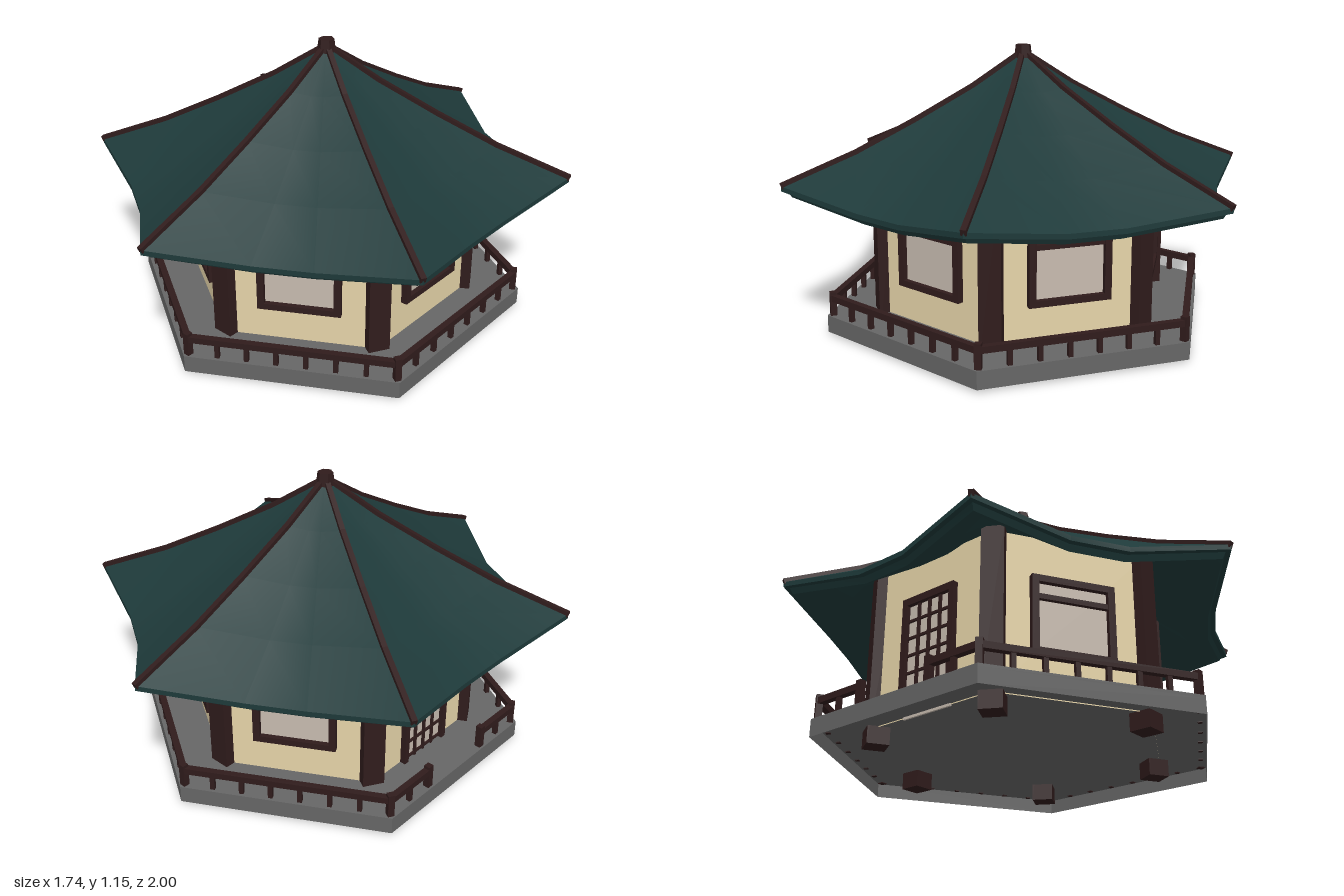
import * as THREE from 'three';
import { toCreasedNormals } from 'three/addons/utils/BufferGeometryUtils.js';

const mat = (name, color) => {
  const m = new THREE.MeshStandardMaterial({ color });
  m.name = name;
  return m;
};

export function createModel() {
  const roofGreen = mat('roof green', 0x1e3a3a);
  const wood = mat('dark wood', 0x301c1c);
  const plaster = mat('cream plaster', 0xe9d7ab);
  const paper = mat('window pane', 0xc8bcb0);
  const stone = mat('grey stone', 0x666666);
  stone.side = THREE.DoubleSide;

  const model = new THREE.Group();
  model.name = 'hexagonalPavilion';

  const add = (parent, name, geometry, material, x = 0, y = 0, z = 0) => {
    const mesh = new THREE.Mesh(geometry, material);
    mesh.name = name;
    mesh.position.set(x, y, z);
    parent.add(mesh);
    return mesh;
  };
  // box given by its width, depth and vertical range
  const box = (parent, name, material, w, d, y0, y1, x = 0, z = 0) =>
    add(parent, name, new THREE.BoxGeometry(w, y1 - y0, d), material, x, (y0 + y1) / 2, z);
  // group turned so that its local +z points outward at the given angle
  const turned = (name, degrees) => {
    const g = new THREE.Group();
    g.name = name;
    g.rotation.y = THREE.MathUtils.degToRad(degrees);
    model.add(g);
    return g;
  };
  const hexPrism = (name, material, rTop, rBottom, y0, y1, open = false) => {
    const geo = new THREE.CylinderGeometry(rTop, rBottom, y1 - y0, 6, 1, open);
    add(model, name, toCreasedNormals(geo, 0.3), material, 0, (y0 + y1) / 2, 0);
  };

  // Platform (deck on an open skirt), wall shell and finial
  hexPrism('deck', stone, 0.84, 0.84, 0.07, 0.082);
  hexPrism('platformSkirt', stone, 0.84, 0.84, 0.011, 0.07, true);
  hexPrism('walls', plaster, 0.618, 0.618, 0.066, 0.71, true);
  hexPrism('finial', wood, 0.032, 0.043, 1.07, 1.155);

  // Roof rings: hip radius, hip height, inset and dip at the middle of each side
  const rings = [
    [0.02, 1.115, 0, 0],
    [0.215, 0.992, 0, 0.012],
    [0.456, 0.865, 0.01, 0.025],
    [0.7, 0.747, 0.028, 0.038],
    [0.996, 0.632, 0.058, 0.055],
  ];
  const ringRow = ([r, y, inset, dip], scale = 1, drop = 0) =>
    [-0.5, -0.115, 0.115, 0.5].map((u) => {
      const mid = Math.abs(u) < 0.3 ? 1 : 0;
      return [u * r * scale, y - dip * mid - drop, (0.866 * r - inset * mid) * scale];
    });
  const eave = rings[4];
  const rows = [
    ...rings.map((r) => ringRow(r)),
    ringRow(eave, 1, 0.02),      // upper lip
    ringRow(eave, 0.975, 0.022),
    ringRow(eave, 0.96, 0.046),  // stepped fascia
    ...rings.slice(0, 4).reverse().map((r) => ringRow(r, 1, 0.045)), // underside
  ];
  const index = [];
  for (let j = 0; j < rows.length - 1; j++) {
    for (let i = 0; i < 3; i++) {
      const a = j * 4 + i, b = a + 4;
      index.push(a, b, b + 1, a, b + 1, a + 1);
    }
  }
  const raw = new THREE.BufferGeometry();
  raw.setAttribute('position', new THREE.Float32BufferAttribute(rows.flat(2), 3));
  raw.setIndex(index);
  const roofPanel = toCreasedNormals(raw, 0.4);

  const APOTHEM = 0.535;
  const windowUnit = (side) => {
    const z = APOTHEM + 0.01;
    box(side, 'windowPane', paper, 0.3, 0.008, 0.24, 0.53, 0, APOTHEM + 0.002);
    for (const s of [-1, 1]) box(side, 'windowStile', wood, 0.028, 0.034, 0.226, 0.543, s * 0.152, z);
    box(side, 'windowSill', wood, 0.28, 0.034, 0.226, 0.252, 0, z);
    box(side, 'windowHead', wood, 0.28, 0.034, 0.516, 0.543, 0, z);
    box(side, 'windowTransom', wood, 0.28, 0.026, 0.447, 0.468, 0, z);
  };
  const doorUnit = (side) => {
    const z = APOTHEM + 0.008;
    box(side, 'doorPanel', paper, 0.24, 0.008, 0.06, 0.53, 0, APOTHEM + 0.002);
    for (const s of [-1, 1]) box(side, 'doorJamb', wood, 0.024, 0.034, 0.075, 0.55, s * 0.122, z);
    box(side, 'doorHead', wood, 0.23, 0.034, 0.52, 0.55, 0, z);
    for (let i = -1; i <= 1; i++) box(side, 'latticeUpright', wood, 0.012, 0.014, 0.082, 0.53, i * 0.055, z);
    for (let i = 0; i < 6; i++) box(side, 'latticeBar', wood, 0.23, 0.012, 0.09 + i * 0.072, 0.1 + i * 0.072, 0, z);
  };

  // Railing along one side, with a gap in front of the door
  const RAIL = 0.706, HALF = 0.4075;
  const railing = (side, gap) => {
    for (let i = 1; i < 7; i++) {
      const x = -HALF + (i * 2 * HALF) / 7;
      if (gap && Math.abs(x) < 0.1) continue;
      const end = gap && Math.abs(x) < 0.2;
      const w = end ? 0.026 : 0.018;
      box(side, 'baluster', wood, w, w, 0.066, end ? 0.18 : 0.15, x, RAIL);
    }
    if (!gap) box(side, 'handrail', wood, 2 * HALF, 0.026, 0.142, 0.168, 0, RAIL);
    else for (const s of [-1, 1]) box(side, 'handrail', wood, HALF - 0.17, 0.026, 0.142, 0.168, s * (HALF + 0.17) / 2, RAIL);
  };

  // Six sides
  for (let k = 0; k < 6; k++) {
    const angle = 30 + k * 60;
    const isDoor = angle === 270;
    const side = turned(isDoor ? 'doorSide' : 'windowSide', angle);
    add(side, 'roofPanel', roofPanel, roofGreen);
    if (isDoor) doorUnit(side);
    else windowUnit(side);
    railing(side, isDoor);
  }

  // Six corners: column, rail post and hip ridge
  for (let k = 0; k < 6; k++) {
    const corner = turned('corner', k * 60);
    box(corner, 'column', wood, 0.088, 0.088, 0, 0.72, 0, 0.59);
    box(corner, 'railPost', wood, 0.026, 0.026, 0.066, 0.18, 0, 0.815);
    for (let i = 0; i < 4; i++) {
      const [r0, y0] = rings[i], [r1, y1] = rings[i + 1];
      const length = Math.hypot(r1 - r0, y1 - y0);
      const ridge = add(corner, 'hipRidge', new THREE.BoxGeometry(0.021, 0.024, length + 0.003),
        wood, 0, (y0 + y1) / 2, (r0 + r1) / 2 - 0.001);
      ridge.rotation.x = Math.atan2(y0 - y1, r1 - r0);
    }
  }
  return model;
}
